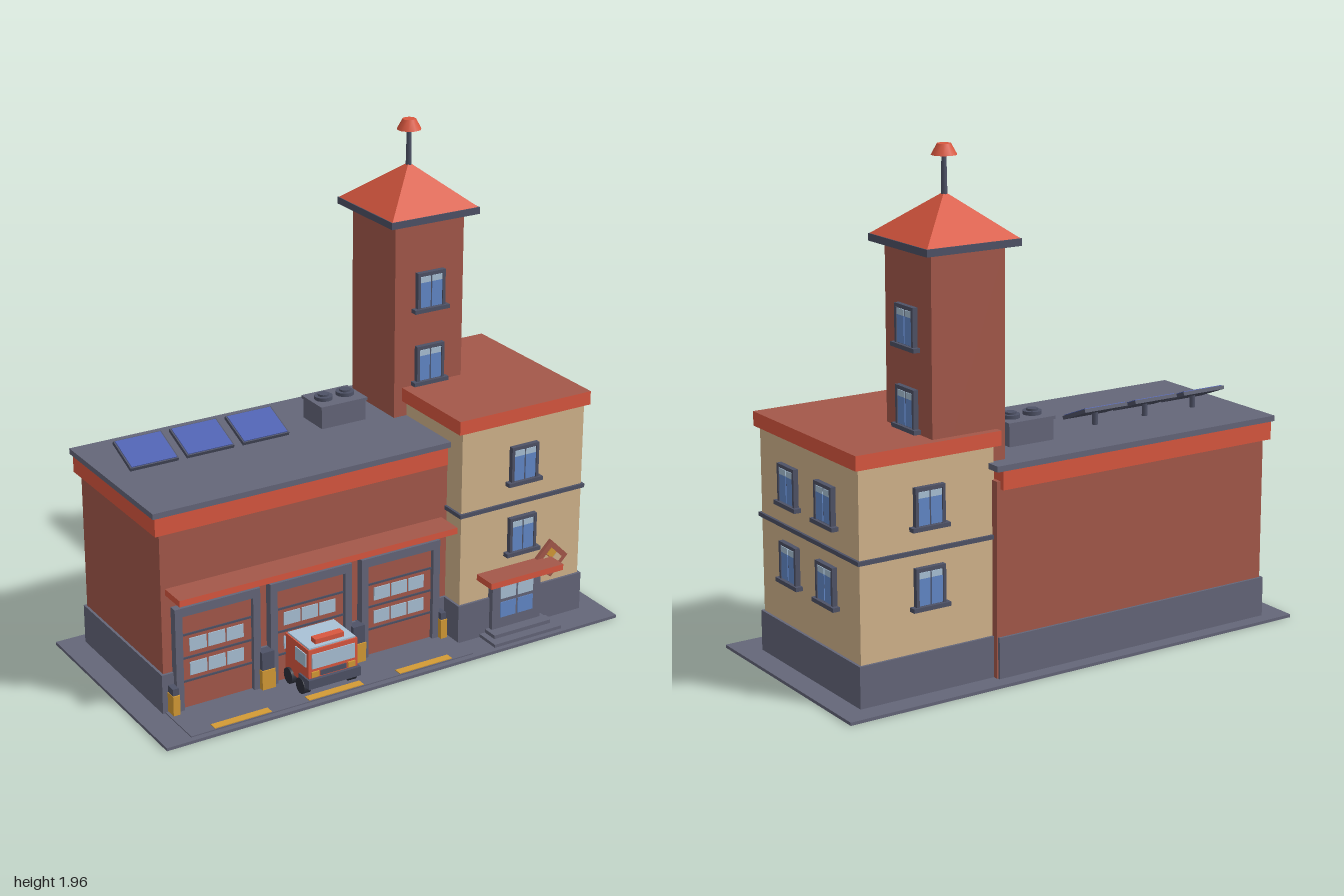
import * as THREE from 'three';

const mat = (name, color) => {
  const m = new THREE.MeshStandardMaterial({ color });
  m.name = name;
  return m;
};

export function createModel() {
  const brick = mat('brick', 0xa4584a), red = mat('red trim', 0xd9573f), tan = mat('tan wall', 0xd2b48c);
  const gray = mat('slate gray', 0x646679), dark = mat('dark gray', 0x4e5266), black = mat('tyre black', 0x2c2f3a);
  const yellow = mat('yellow', 0xd49b35), blue = mat('window blue', 0x6288c8);
  const pale = mat('pale glass', 0xa9c1d6), solar = mat('solar blue', 0x4d60b0);
  const brickTop = [red, red, brick, red, red, red];

  const root = new THREE.Group();
  root.name = 'fireStation';

  const group = (name, parent = root) => {
    const g = new THREE.Group();
    g.name = name;
    parent.add(g);
    return g;
  };
  // box given by its min and max on each axis
  const box = (name, m, x0, x1, y0, y1, z0, z1, parent = root) => {
    const mesh = new THREE.Mesh(new THREE.BoxGeometry(x1 - x0, y1 - y0, z1 - z0), m);
    mesh.position.set((x0 + x1) / 2, (y0 + y1) / 2, (z0 + z1) / 2);
    mesh.name = name;
    parent.add(mesh);
    return mesh;
  };
  const cyl = (name, m, rTop, rBottom, y0, y1, x, z, sides, parent = root) => {
    const mesh = new THREE.Mesh(new THREE.CylinderGeometry(rTop, rBottom, y1 - y0, sides), m);
    mesh.position.set(x, (y0 + y1) / 2, z);
    mesh.name = name;
    parent.add(mesh);
    return mesh;
  };
  // sash window, bottom centre on the wall, facing +z before turning
  const windowAt = (x, y, z, turn) => {
    const g = group('window');
    box('windowFrame', dark, -0.062, 0.062, 0, 0.155, -0.005, 0.014, g);
    box('windowSill', dark, -0.078, 0.078, -0.004, 0.012, -0.005, 0.028, g);
    box('windowLintel', dark, -0.062, 0.062, 0.143, 0.155, 0, 0.02, g);
    for (const s of [-1, 1]) {
      box('windowJamb', dark, s * 0.056 - 0.006, s * 0.056 + 0.006, 0, 0.15, 0, 0.02, g);
      box('windowPane', blue, s * 0.026 - 0.023, s * 0.026 + 0.023, 0.014, 0.115, 0.013, 0.017, g);
      box('upperPane', pale, s * 0.026 - 0.023, s * 0.026 + 0.023, 0.115, 0.138, 0.013, 0.017, g);
    }
    g.position.set(x, y, z);
    g.rotation.y = turn;
  };

  // ground
  box('groundSlab', gray, -1, 1, 0, 0.012, -0.47, 0.47);
  box('apron', gray, -0.89, 0.33, 0.012, 0.016, 0.23, 0.447);
  for (const x of [-0.673, -0.278, 0.118]) box('parkingStripe', yellow, x - 0.118, x + 0.118, 0.014, 0.019, 0.41, 0.443);

  // engine hall
  box('hallWalls', brick, -0.89, 0.345, 0.01, 0.76, -0.405, 0.235);
  box('hallPlinth', gray, -0.9, 0.34, 0.01, 0.17, -0.415, 0.245);
  box('hallTrim', red, -0.912, 0.33, 0.73, 0.805, -0.425, 0.25);
  box('hallRoof', gray, -0.922, 0.36, 0.803, 0.825, -0.433, 0.257);
  box('hallCanopy', brickTop, -0.872, 0.315, 0.485, 0.51, 0.23, 0.347);

  // garage doors
  for (const x of [-0.676, -0.281, 0.114]) {
    const g = group('garageDoor');
    box('doorPanel', brick, -0.15, 0.15, 0.016, 0.4, 0.23, 0.25, g);
    box('doorHead', gray, -0.176, 0.176, 0.398, 0.433, 0.23, 0.268, g);
    for (const s of [-1, 1]) box('doorJamb', gray, s * 0.161 - 0.015, s * 0.161 + 0.015, 0.012, 0.433, 0.23, 0.268, g);
    for (const y of [0.125, 0.22, 0.315]) box('doorRail', dark, -0.146, 0.146, y - 0.004, y + 0.004, 0.248, 0.254, g);
    for (const y of [0.145, 0.243])
      for (const i of [-1, 0, 1]) box('doorPane', pale, i * 0.077 - 0.035, i * 0.077 + 0.035, y, y + 0.053, 0.248, 0.254, g);
    box('doorLamp', red, -0.026, 0.026, 0.448, 0.476, 0.23, 0.27, g);
    g.position.x = x;
  }

  // guard posts beside the doors, with yellow bands
  for (const [x, w] of [[-0.865, 0.012], [-0.479, 0.026], [-0.083, 0.026], [0.3, 0.012]]) {
    box('guardPost', dark, x - w, x + w, 0.012, w > 0.02 ? 0.17 : 0.125, 0.235, 0.285);
    box('guardBand', yellow, x - w - 0.002, x + w + 0.002, 0.018, 0.097, 0.234, 0.29);
  }

  // office block
  box('officeWalls', tan, 0.338, 0.9, 0.01, 0.9, -0.375, 0.335);
  box('officePlinth', gray, 0.328, 0.91, 0.01, 0.17, -0.385, 0.345);
  box('officeBelt', dark, 0.328, 0.91, 0.54, 0.556, -0.385, 0.345);
  box('officeParapet', brickTop, 0.317, 0.92, 0.888, 0.943, -0.395, 0.348);
  for (const y of [0.335, 0.632]) {
    windowAt(0.617, y, 0.335, 0);
    windowAt(0.617, y, -0.375, Math.PI);
    for (const z of [0.114, -0.155]) windowAt(0.9, y, z, Math.PI / 2);
  }

  // office entrance
  const entrance = group('entrance');
  box('entranceStep', gray, 0.43, 0.745, 0.01, 0.025, 0.33, 0.45, entrance);
  box('entranceUpperStep', gray, 0.455, 0.72, 0.025, 0.04, 0.33, 0.41, entrance);
  box('entranceFrame', gray, 0.473, 0.7, 0.03, 0.255, 0.33, 0.365, entrance);
  box('entranceAwning', brickTop, 0.417, 0.755, 0.258, 0.283, 0.33, 0.435, entrance);
  for (const x of [0.546, 0.627]) {
    box('doorLowerPane', blue, x - 0.036, x + 0.036, 0.085, 0.15, 0.362, 0.368, entrance);
    box('doorUpperPane', pale, x - 0.036, x + 0.036, 0.165, 0.225, 0.362, 0.368, entrance);
  }

  // diamond wall sign
  const sign = group('diamondSign');
  box('signBoard', brick, -0.056, 0.056, -0.056, 0.056, -0.008, 0.01, sign);
  for (const s of [-1, 1])
    for (const t of [-1, 1])
      box('signCheck', s === t ? yellow : tan, s * 0.018 - 0.016, s * 0.018 + 0.016, t * 0.018 - 0.016, t * 0.018 + 0.016, 0.008, 0.014, sign);
  sign.position.set(0.757, 0.272, 0.342);
  sign.rotation.z = Math.PI / 4;

  // tower
  const tx = 0.435, tz = -0.21;
  box('towerWalls', brick, tx - 0.154, tx + 0.154, 0.7, 1.61, tz - 0.154, tz + 0.154);
  box('towerEaves', dark, tx - 0.197, tx + 0.197, 1.605, 1.632, tz - 0.197, tz + 0.197);
  const roofShape = new THREE.ConeGeometry(0.193 * Math.SQRT2, 0.158, 4).rotateY(Math.PI / 4).toNonIndexed();
  roofShape.computeVertexNormals();
  const roof = new THREE.Mesh(roofShape, red);
  roof.name = 'towerRoof';
  roof.position.set(tx, 1.711, tz);
  root.add(roof);
  cyl('sirenPole', dark, 0.009, 0.012, 1.77, 1.93, tx, tz, 8);
  cyl('siren', red, 0.026, 0.048, 1.92, 1.96, tx, tz, 10);
  for (const y of [0.95, 1.247]) {
    windowAt(tx, y, tz + 0.154, 0);
    windowAt(tx + 0.154, y, tz, Math.PI / 2);
  }

  // solar panels
  for (const x of [-0.741, -0.508, -0.272]) {
    const g = group('solarPanel');
    box('panelFrame', dark, -0.099, 0.099, -0.007, 0.007, -0.077, 0.077, g);
    box('panelCells', solar, -0.093, 0.093, 0.005, 0.01, -0.072, 0.072, g);
    g.position.set(x, 0.878, -0.152);
    g.rotation.x = 0.38;
    cyl('panelPost', dark, 0.011, 0.011, 0.82, 0.875, x, -0.152, 8);
  }

  // roof ventilation unit
  box('ventBody', gray, -0.015, 0.18, 0.82, 0.905, -0.243, -0.102);
  box('ventLid', gray, -0.021, 0.186, 0.905, 0.917, -0.248, -0.097);
  for (const x of [0.034, 0.13]) {
    cyl('ventFan', dark, 0.036, 0.036, 0.915, 0.931, x, -0.174, 16);
    cyl('ventHub', dark, 0.022, 0.022, 0.93, 0.939, x, -0.174, 12);
  }

  // fire engine emerging from the middle door
  const truck = group('fireEngine');
  box('truckBody', red, -0.105, 0.105, 0.06, 0.21, 0.25, 0.422, truck);
  box('truckRoof', pale, -0.1, 0.1, 0.208, 0.216, 0.26, 0.416, truck);
  box('lightBar', red, -0.062, 0.062, 0.214, 0.235, 0.365, 0.398, truck);
  box('windscreen', pale, -0.092, 0.092, 0.132, 0.192, 0.418, 0.426, truck);
  box('grille', dark, -0.055, 0.055, 0.098, 0.118, 0.418, 0.426, truck);
  box('bumper', dark, -0.112, 0.112, 0.056, 0.093, 0.36, 0.436, truck);
  for (const s of [-1, 1]) {
    box('sideGlass', pale, s * 0.106 - 0.003, s * 0.106 + 0.003, 0.135, 0.19, 0.33, 0.405, truck);
    box('headlamp', yellow, s * 0.078 - 0.016, s * 0.078 + 0.016, 0.098, 0.12, 0.419, 0.428, truck);
    for (const z of [0.375, 0.285]) {
      const wheel = cyl('wheel', black, 0.032, 0.032, 0.032, 0.062, s * 0.1, z, 16, truck);
      wheel.rotation.z = Math.PI / 2;
    }
  }
  truck.position.x = -0.281;

  return root;
}
